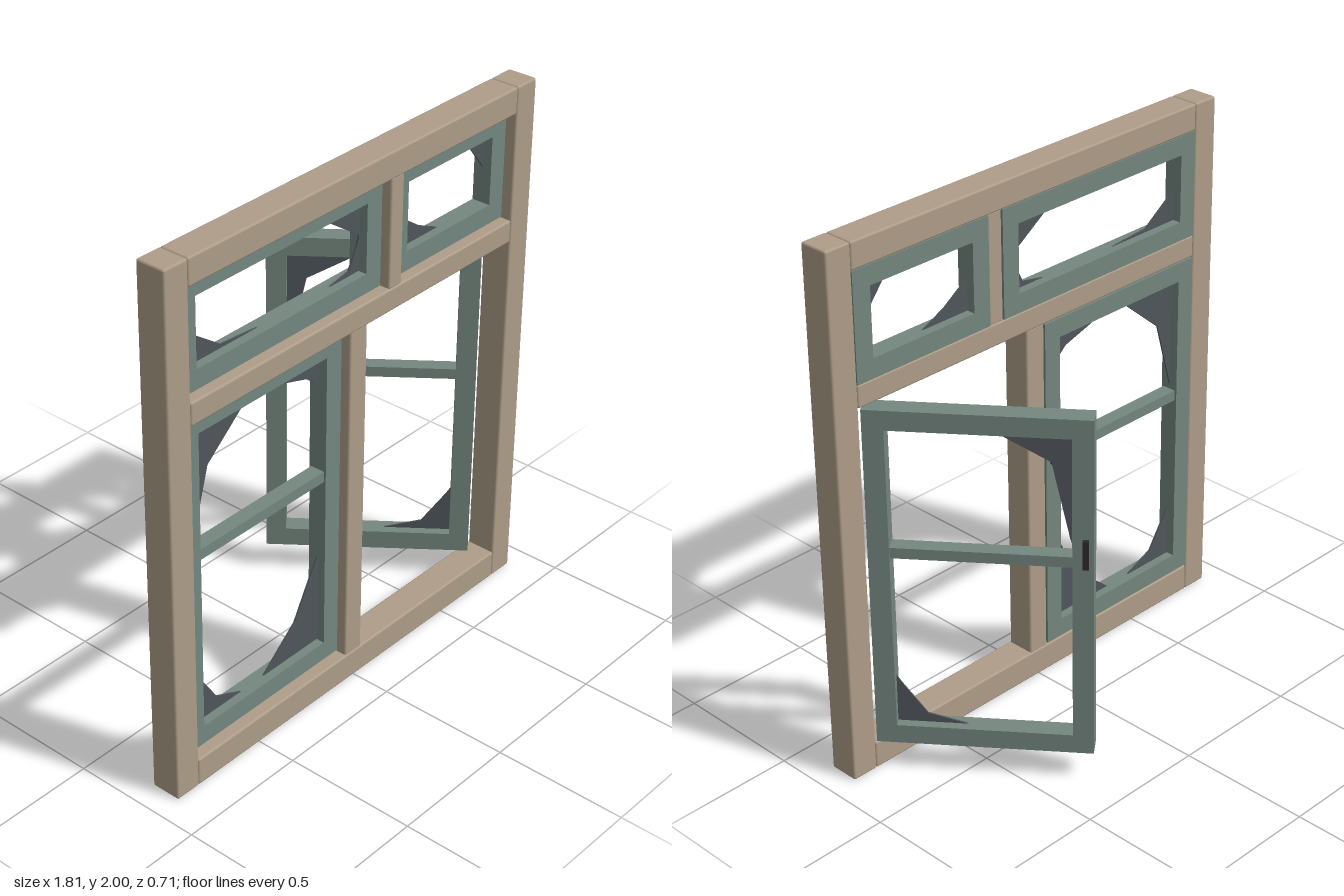
import * as THREE from 'three';
import { RoundedBoxGeometry } from 'three/addons/geometries/RoundedBoxGeometry.js';

const BACK = 0.235, FRONT = 0.35;   // depth of the outer frame
const THICK = 0.072, STILE = 0.072; // sash depth and border width

const wood = new THREE.MeshStandardMaterial({ color: 0xae9d88 });
const paint = new THREE.MeshStandardMaterial({ color: 0x74877f });
const glass = new THREE.MeshStandardMaterial({ color: 0x50565c });
const metal = new THREE.MeshStandardMaterial({ color: 0x2e2c2a });

function add(parent, name, geometry, material) {
  const mesh = new THREE.Mesh(geometry, material);
  mesh.name = name;
  parent.add(mesh);
  return mesh;
}

// Softly bevelled timber between two x and two y limits
function beam(parent, name, x0, x1, y0, y1, inset = 0) {
  const g = new RoundedBoxGeometry(x1 - x0, y1 - y0, FRONT - BACK - 2 * inset, 2, 0.008);
  add(parent, name, g, wood).position.set((x0 + x1) / 2, (y0 + y1) / 2, (BACK + FRONT) / 2);
}

function rectangle(Type, x0, x1, y0, y1) {
  return new Type([[x0, y0], [x1, y0], [x1, y1], [x0, y1]].map(p => new THREE.Vector2(...p)));
}

// Sash with its back on z = 0, holding broken panes; shards are outlines in the same x, y
function sash(name, x0, x1, y0, y1, shards) {
  const group = new THREE.Group();
  group.name = name;
  const border = rectangle(THREE.Shape, x0, x1, y0, y1);
  border.holes.push(rectangle(THREE.Path, x0 + STILE, x1 - STILE, y0 + STILE, y1 - STILE));
  add(group, 'sashBorder', new THREE.ExtrudeGeometry(border, { depth: THICK, bevelEnabled: false }), paint);
  for (const points of shards) {
    const shape = new THREE.Shape(points.map(p => new THREE.Vector2(...p)));
    const g = new THREE.ExtrudeGeometry(shape, { depth: 0.006, bevelEnabled: false });
    add(group, 'glassShard', g, glass).position.z = THICK / 2 - 0.003;
  }
  return group;
}

// Casement: a sash with a glazing bar and a handle near its free edge
function casement(name, x0, x1, handleX, shards) {
  const group = sash(name, x0, x1, 0.112, 1.412, shards);
  const bar = new THREE.BoxGeometry(x1 - x0 - 2 * STILE + 0.01, 0.04, THICK - 0.016);
  add(group, 'glazingBar', bar, paint).position.set((x0 + x1) / 2, 0.874, THICK / 2);
  const handle = new THREE.BoxGeometry(0.02, 0.11, 0.014);
  add(group, 'handle', handle, metal).position.set(handleX, 0.914, -0.006);
  return group;
}

export function createModel() {
  const model = new THREE.Group();
  model.name = 'window';

  // Outer frame
  beam(model, 'rightPost', -0.905, -0.802, 0, 2);
  beam(model, 'leftPost', 0.802, 0.905, 0, 2);
  beam(model, 'topRail', -0.803, 0.803, 1.9, 2);
  beam(model, 'transom', -0.803, 0.803, 1.415, 1.5);
  beam(model, 'sill', -0.803, 0.803, 0, 0.107);
  beam(model, 'upperMullion', 0.147, 0.212, 1.495, 1.905, 0.004);
  beam(model, 'lowerMullion', -0.045, 0.04, 0.1, 1.42, 0.004);

  // Fixed lights above the transom
  const wideLight = sash('wideLight', -0.802, 0.147, 1.5, 1.9, [
    [[-0.735, 1.57], [-0.39, 1.57], [-0.585, 1.585], [-0.735, 1.69]],
    [[-0.24, 1.83], [-0.24, 1.82], [-0.09, 1.815], [0.08, 1.7], [0.08, 1.83]],
    [[-0.08, 1.57], [0.08, 1.57], [0.08, 1.72], [0.065, 1.67], [0.025, 1.59]],
  ]);
  const narrowLight = sash('narrowLight', 0.212, 0.802, 1.5, 1.9, [
    [[0.28, 1.57], [0.49, 1.57], [0.39, 1.615], [0.28, 1.69]],
    [[0.555, 1.83], [0.555, 1.82], [0.645, 1.813], [0.735, 1.7], [0.735, 1.83]],
  ]);

  // Closed casement
  const closed = casement('closedCasement', -0.8, -0.045, -0.075, [
    [[-0.735, 1.345], [-0.735, 0.89], [-0.655, 1.175], [-0.455, 1.345]],
    [[-0.41, 1.345], [-0.18, 1.275], [-0.11, 1.215], [-0.11, 1.345]],
    [[-0.735, 0.18], [-0.5, 0.18], [-0.63, 0.235], [-0.735, 0.395]],
    [[-0.4, 0.18], [-0.11, 0.18], [-0.11, 0.55], [-0.235, 0.32]],
  ]);
  for (const part of [wideLight, narrowLight, closed]) {
    part.position.z = BACK;
    model.add(part);
  }

  // Open casement, swung backwards about its hinge edge at local x = 0
  const open = casement('openCasement', -0.752, 0, -0.725, [
    [[-0.41, 1.345], [-0.685, 1.345], [-0.685, 0.9], [-0.67, 0.95], [-0.61, 1.235]],
    [[-0.065, 0.18], [-0.065, 0.38], [-0.09, 0.34], [-0.177, 0.22], [-0.33, 0.18]],
  ]);
  open.position.set(0.797, 0, 0.234);
  open.rotation.y = -0.905;
  model.add(open);

  return model;
}
